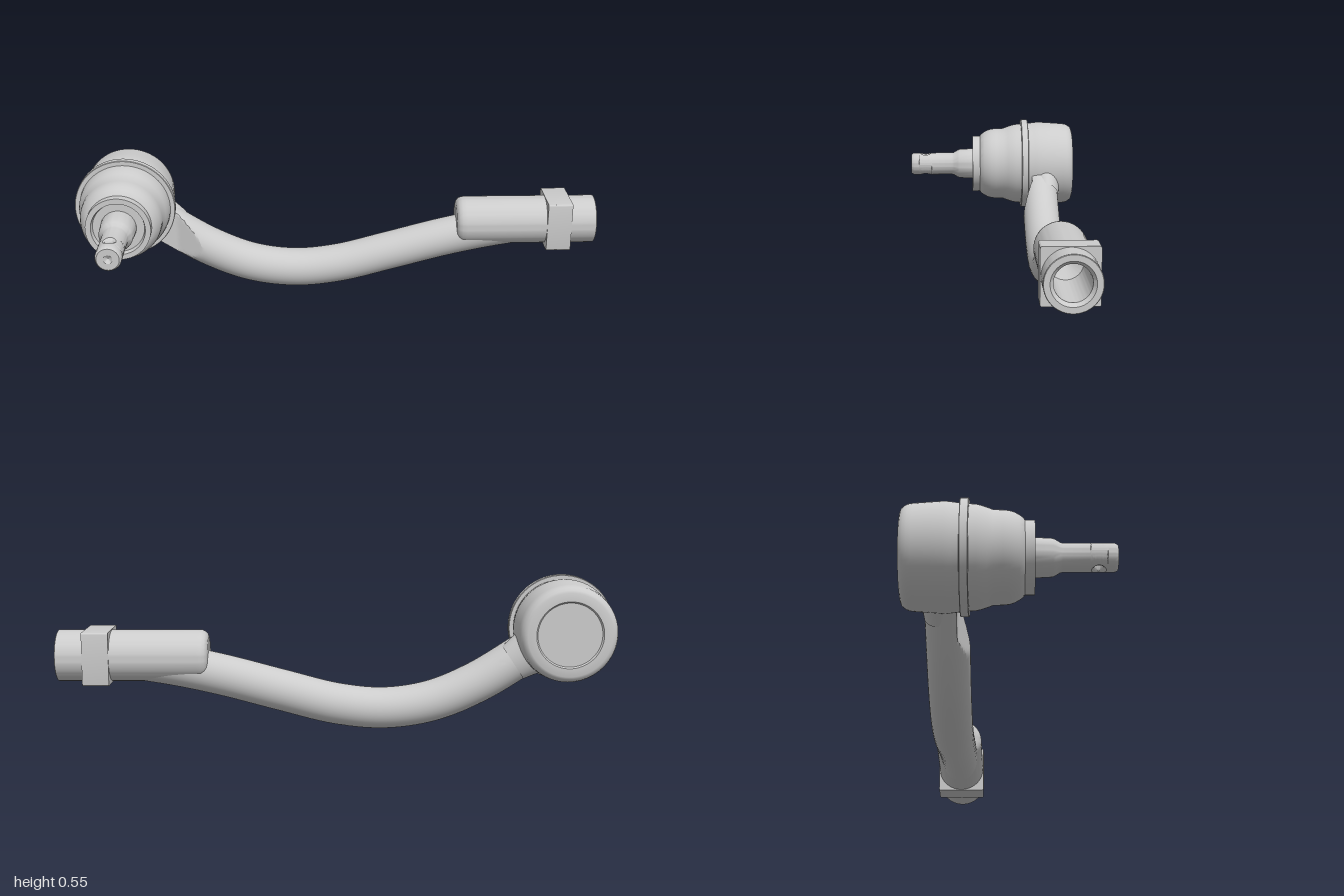
import * as THREE from 'three';
import { toCreasedNormals } from 'three/addons/utils/BufferGeometryUtils.js';
import { RoundedBoxGeometry } from 'three/addons/geometries/RoundedBoxGeometry.js';

const BALL = [-0.81, 0.364, 0];      // ball joint axis runs along z
const ARM_Z = -0.204;                // plane of the arm
const SOCKET_Y = 0.27;               // socket axis runs along x

export function createModel() {
  const group = new THREE.Group();
  const mat = new THREE.MeshStandardMaterial({ color: 0xcccccc });

  const add = (name, geo, pos = [0, 0, 0]) => {
    const mesh = new THREE.Mesh(geo, mat);
    mesh.name = name;
    mesh.position.set(...pos);
    group.add(mesh);
    return mesh;
  };

  // Turned part from [radius, distance] pairs, laid along z or x
  const turned = (pairs, axis, segments = 64) => {
    const geo = new THREE.LatheGeometry(pairs.map(([r, d]) => new THREE.Vector2(r, d)), segments);
    if (axis === 'z') geo.rotateX(Math.PI / 2);
    else geo.rotateZ(-Math.PI / 2);
    return toCreasedNormals(geo, 0.6);
  };

  // Skin stretched over closed loops of equal length
  const loft = (loops) => {
    const n = loops[0].length, index = [];
    for (let i = 0; i < loops.length - 1; i++)
      for (let j = 0; j < n; j++) {
        const a = i * n + j, b = i * n + (j + 1) % n;
        index.push(a, b, a + n, b, b + n, a + n);
      }
    const geo = new THREE.BufferGeometry();
    geo.setAttribute('position', new THREE.Float32BufferAttribute(loops.flat(2), 3));
    geo.setIndex(index);
    return toCreasedNormals(geo, 0.6);
  };

  // Ball housing with a shallow closing plate at the back
  add('housing', turned([
    [0, -0.341], [0.113, -0.341], [0.118, -0.347], [0.148, -0.347], [0.157, -0.343],
    [0.166, -0.332], [0.171, -0.32], [0.173, -0.305], [0.177, -0.25], [0.18, -0.205],
    [0.178, -0.185], [0.174, -0.157], [0.174, -0.13], [0, -0.13],
  ], 'z'), BALL);

  add('flange', turned([
    [0, -0.157], [0.188, -0.157], [0.19, -0.155], [0.19, -0.13], [0.188, -0.128], [0, -0.128],
  ], 'z'), BALL);

  // Bulging dust boot with a clamped, hollow lip
  add('dustBoot', turned([
    [0.172, -0.13], [0.17, -0.105], [0.166, -0.088], [0.16, -0.07], [0.153, -0.052],
    [0.152, -0.02], [0.15, 0], [0.145, 0.016], [0.137, 0.031], [0.126, 0.046],
    [0.12, 0.049], [0.12, 0.081], [0.1, 0.081], [0.095, 0.062], [0.04, 0.062],
  ], 'z'), BALL);

  // Stud in two turned pieces either side of the cross hole
  const R = 0.047, HOLE_Z = 0.285, HALF = 0.028;
  add('studShank', turned([
    [0, 0.05], [0.066, 0.05], [0.065, 0.085], [0.062, 0.138], [0.058, 0.147],
    [0.049, 0.162], [R, 0.17], [R, HOLE_Z - HALF],
  ], 'z', 48), BALL);
  add('studTip', turned([
    [R, HOLE_Z + HALF], [R, 0.335], [0.044, 0.343], [0.04, 0.347], [0.016, 0.347], [0, 0.335],
  ], 'z', 48), BALL);

  // Cross-drilled stud section: a half cylinder around each mouth of the hole
  const N = 64, MOUTH = 0.024, BORE = 0.014;
  const drilledLoop = (t) => Array.from({ length: N }, (_, j) => {
    const a = (j / N) * Math.PI * 2, c = Math.cos(a), s = Math.sin(a);
    const k = 1 / Math.max(Math.abs(c), Math.abs(s));
    const angle = THREE.MathUtils.lerp((Math.PI / 2) * c * k, Math.asin(MOUTH * c / R), t);
    const v = THREE.MathUtils.lerp(HALF * s * k, MOUTH * s, t);
    return [R * Math.sin(angle), R * Math.cos(angle), HOLE_Z - v];
  });
  const boreLoop = (r, y) => Array.from({ length: N }, (_, j) => {
    const a = (j / N) * Math.PI * 2;
    return [r * Math.cos(a), y, HOLE_Z - r * Math.sin(a)];
  });
  const drilled = loft([
    ...Array.from({ length: 9 }, (_, i) => drilledLoop(i / 8)),
    boreLoop(0.017, 0.038), boreLoop(BORE, 0.033), boreLoop(BORE, 0),
  ]);
  add('studHoleUpper', drilled, BALL);
  add('studHoleLower', drilled, BALL).rotation.z = Math.PI;
  // turning the lower half about z keeps the hole at the same z

  // Bent arm, flattened at the front where it passes under the flange
  const path = new THREE.CatmullRomCurve3([
    [-0.76, 0.335], [-0.65, 0.262], [-0.5, 0.17], [-0.34, 0.103], [-0.17, 0.077], [0, 0.092],
    [0.2, 0.142], [0.4, 0.195], [0.55, 0.228], [0.68, 0.25], [0.78, 0.262],
  ].map(([x, y]) => new THREE.Vector3(x, y, ARM_Z)));
  const arm = new THREE.TubeGeometry(path, 120, 0.0745, 40);
  const p = arm.attributes.position;
  for (let i = 0; i < p.count; i++) {
    const limit = THREE.MathUtils.mapLinear(p.getX(i), -0.62, -0.52, -0.17, -0.128);
    p.setZ(i, Math.min(p.getZ(i), Math.max(limit, -0.17)));
  }
  arm.computeVertexNormals();
  add('arm', toCreasedNormals(arm, 0.45));

  // Flared root blending the arm into the housing
  const root = new THREE.CylinderGeometry(0.07, 0.088, 0.09, 40, 1, true);
  root.scale(1, 1, 0.72);
  root.rotateZ(-Math.PI / 2 - 0.58);
  add('armRoot', root, [-0.665, 0.272, -0.23]);

  // Socket sleeve with rounded shoulder and blind bore ending in a drill cone
  add('socket', turned([
    [0, 0.462], [0.066, 0.462], [0.077, 0.465], [0.086, 0.473], [0.091, 0.484], [0.0925, 0.5],
    [0.0925, 0.998], [0.0905, 1], [0.071, 1], [0.06, 0.985], [0.06, 0.7], [0, 0.665],
  ], 'x'), [0, SOCKET_Y, ARM_Z]);

  // Square wrench collar, built as four corner-filling sides around the bore
  const half = 0.095;
  const square = new THREE.Shape();
  const c = 0.008;
  square.moveTo(-half + c, -half);
  [[1, -1], [1, 1], [-1, 1], [-1, -1]].forEach(([x, y], i) => {
    const sx = x * half, sy = y * half;
    if (i % 2 === 0) {
      square.lineTo(sx - x * c, sy);
      square.quadraticCurveTo(sx, sy, sx, sy - y * c);
    } else {
      square.lineTo(sx, sy - y * c);
      square.quadraticCurveTo(sx, sy, sx - x * c, sy);
    }
  });
  square.holes.push(new THREE.Path().absarc(0, 0, 0.085, 0, Math.PI * 2, true));
  const collar = new THREE.ExtrudeGeometry(square, { depth: 0.094, bevelEnabled: false, curveSegments: 32 });
  collar.rotateY(Math.PI / 2);
  add('wrenchCollar', toCreasedNormals(collar, 0.6), [0.808, SOCKET_Y, ARM_Z]);

  return group;
}
